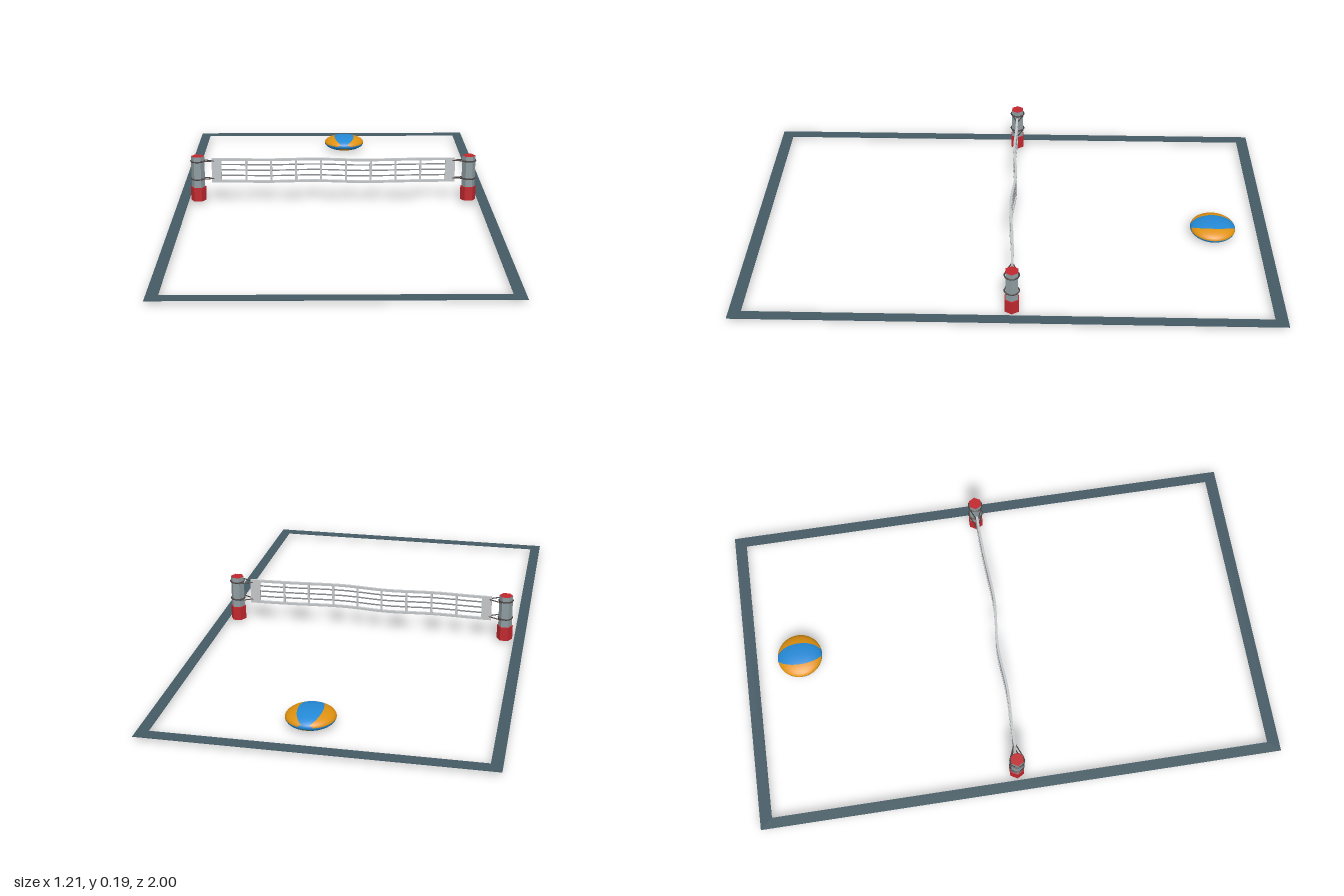
import * as THREE from 'three';

const mat = (name, color, side = THREE.FrontSide) => {
  const m = new THREE.MeshStandardMaterial({ color, side });
  m.name = name;
  return m;
};

export function createModel() {
  const slate = mat('slate court line', 0x455a64);
  const red = mat('red padding', 0xc0282e);
  const steel = mat('grey post', 0x8e9ca1);
  const netGrey = mat('light net tape', 0xc4c7c9);
  const cordGrey = mat('net cord', 0x8a8c90);
  const ropeDark = mat('dark rope', 0x4a4240);
  const orange = mat('ball orange', 0xe0920f);
  const blue = mat('ball blue', 0x2489d6);

  const model = new THREE.Group();
  model.name = 'volleyballCourt';
  const add = (parent, name, geometry, material) => {
    const mesh = new THREE.Mesh(geometry, material);
    mesh.name = name;
    parent.add(mesh);
    return mesh;
  };
  const group = (name) => {
    const g = new THREE.Group();
    g.name = name;
    model.add(g);
    return g;
  };

  // Court boundary: flat rectangular ring
  const rect = (Type, x, y) => new Type([[-x, -y], [x, -y], [x, y], [-x, y]].map((p) => new THREE.Vector2(...p)));
  const ring = rect(THREE.Shape, 0.605, 1);
  ring.holes.push(rect(THREE.Path, 0.565, 0.955));
  const court = new THREE.ExtrudeGeometry(ring, { depth: 0.002, bevelEnabled: false });
  court.rotateX(-Math.PI / 2).translate(0, 0.0135, 0);
  add(model, 'courtBoundary', court, slate);

  // Gentle wave the net follows, z as a function of x
  const wave = new THREE.SplineCurve([
    [-0.53, -0.016], [-0.4, -0.014], [-0.25, -0.008], [-0.07, -0.018],
    [0.11, -0.002], [0.3, -0.012], [0.41, -0.016], [0.53, -0.016],
  ].map((p) => new THREE.Vector2(...p)));
  const table = wave.getPoints(140);
  const waveZ = (x) => {
    let i = 1;
    while (i < table.length - 1 && table[i].x < x) i++;
    const a = table[i - 1], b = table[i];
    return THREE.MathUtils.lerp(a.y, b.y, (x - a.x) / (b.x - a.x));
  };

  // Net: slabs bent along the wave
  const net = group('net');
  const strip = (name, x0, x1, y0, y1, depth, material) => {
    const segments = Math.max(1, Math.round((x1 - x0) / 0.025));
    const g = new THREE.BoxGeometry(x1 - x0, y1 - y0, depth, segments, 1, 1);
    g.translate((x0 + x1) / 2, (y0 + y1) / 2, 0);
    const p = g.attributes.position;
    for (let i = 0; i < p.count; i++) p.setZ(i, p.getZ(i) + waveZ(p.getX(i)));
    g.computeVertexNormals();
    add(net, name, g, material);
  };
  const low = 0.085, high = 0.182, inner = 0.436;
  strip('topTape', -inner, inner, high - 0.009, high, 0.009, netGrey);
  strip('bottomTape', -inner, inner, low, low + 0.009, 0.009, netGrey);
  strip('endPanel', -0.474, -inner, low, high, 0.009, netGrey);
  strip('endPanel', inner, 0.474, low, high, 0.009, netGrey);
  for (let i = 1; i < 9; i++) {
    const x = -inner + (i * 2 * inner) / 9;
    strip('verticalTape', x - 0.004, x + 0.004, low + 0.009, high - 0.009, 0.006, netGrey);
  }
  for (const y of [0.113, 0.135, 0.157]) strip('netCord', -inner, inner, y - 0.002, y + 0.002, 0.005, cordGrey);

  // Hexagonal posts with padded bases and ropes
  const hex = (radius, y0, y1) => new THREE.CylinderGeometry(radius, radius, y1 - y0, 6, 1, false, Math.PI / 6)
    .toNonIndexed().translate(0, (y0 + y1) / 2, 0);
  const flat = (g) => { g.computeVertexNormals(); return g; };
  const postZ = -0.016;
  for (const side of [-1, 1]) {
    const post = group(side > 0 ? 'leftPost' : 'rightPost');
    post.position.set(side * 0.528, 0, postZ);
    add(post, 'postBase', flat(hex(0.03, 0.0135, 0.068)), red);
    add(post, 'postShaft', flat(hex(0.026, 0.068, 0.191)), [steel, red, red]);
    for (const y of [0.101, 0.172]) {
      // Loop round the post, then two strands meeting at the net corner
      const loop = new THREE.TorusGeometry(0.0265, 0.0028, 6, 18).rotateX(Math.PI / 2);
      add(post, 'ropeLoop', loop, ropeDark).position.y = y;
      const end = new THREE.Vector3(-side * 0.07, y - 0.001, waveZ(side * 0.458) - postZ);
      for (const s of [-1, 1]) {
        const start = new THREE.Vector3(-side * 0.012, y + s * 0.003, s * 0.024);
        add(post, 'ropeStrand', new THREE.TubeGeometry(new THREE.LineCurve3(start, end), 1, 0.0022, 5), ropeDark);
      }
    }
  }

  // Squashed ball: six wedges running front to back, with round end caps
  const ball = group('ball');
  ball.position.set(0.055, 0.031, -0.785);
  const cap = 0.3;
  const panel = (name, phi, phiLength, theta, thetaLength, material) => {
    const g = new THREE.SphereGeometry(1, Math.ceil(phiLength * 6), Math.ceil(thetaLength * 7), phi, phiLength, theta, thetaLength);
    add(ball, name, g.rotateX(Math.PI / 2).scale(0.087, 0.031, 0.087), material);
  };
  for (let i = 0; i < 6; i++) {
    panel('ballPanel', (i * Math.PI) / 3, Math.PI / 3, cap, Math.PI - 2 * cap, i % 2 ? orange : blue);
  }
  panel('ballFrontCap', 0, Math.PI * 2, 0, cap, blue);
  panel('ballBackCap', 0, Math.PI * 2, Math.PI - cap, cap, blue);

  return model;
}
